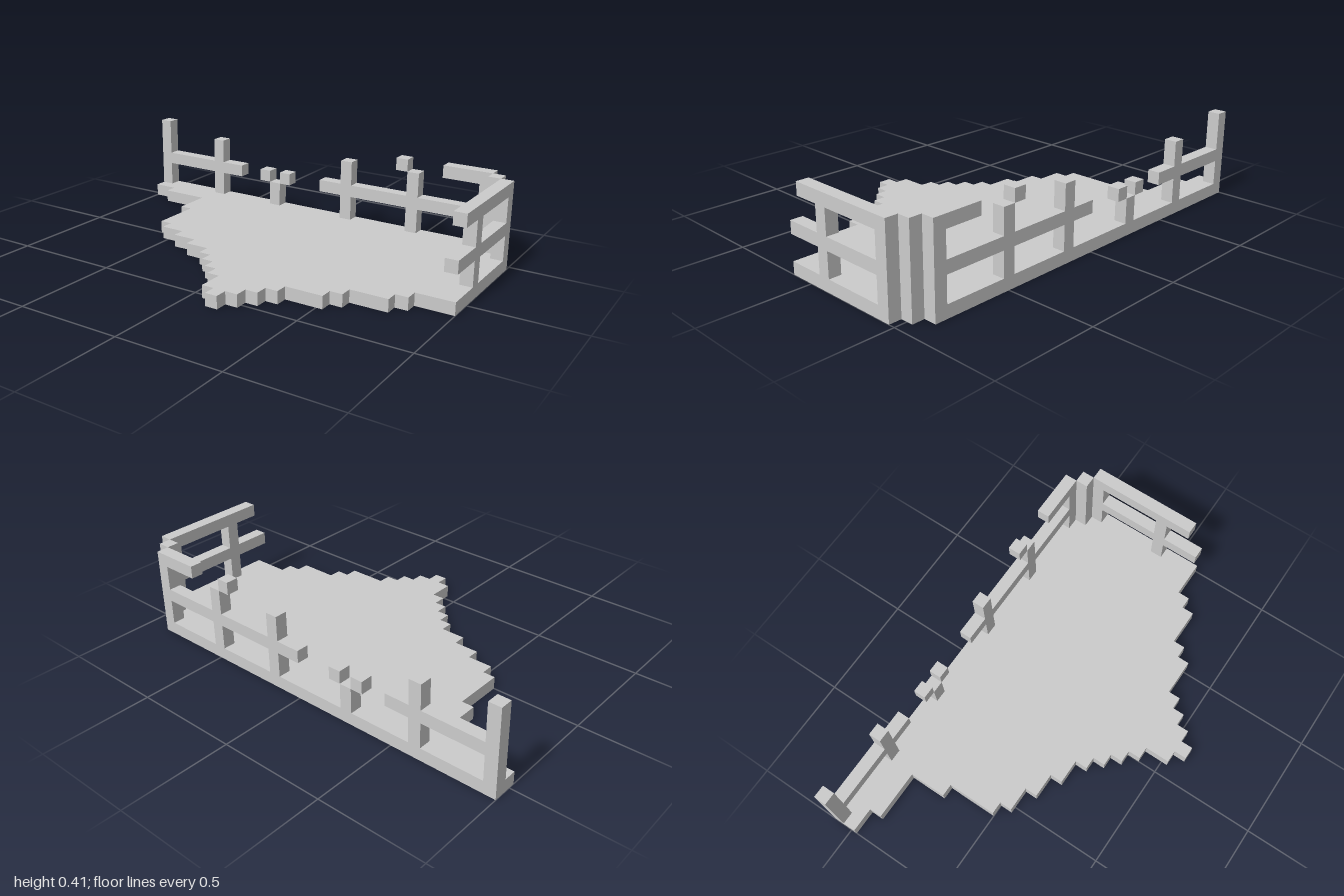
import * as THREE from 'three';

const U = 2 / 34; // one block
const X0 = -17, Z0 = -10; // block grid origin, in blocks

export function createModel() {
  const group = new THREE.Group();
  const mat = new THREE.MeshStandardMaterial({ color: 0xcccccc, flatShading: true });

  // box filling a block range: start column, level, row and size in blocks
  const block = (name, i, j, k, w, h, d) => {
    const mesh = new THREE.Mesh(new THREE.BoxGeometry(w * U, h * U, d * U), mat);
    mesh.position.set((X0 + i + w / 2) * U, (j + h / 2) * U, (Z0 + k + d / 2) * U);
    mesh.name = name;
    group.add(mesh);
  };

  // broken deck: [first column, end column, number of rows], back to front
  const runs = [
    [0, 32, 1], [0, 33, 1], [2, 34, 1], [6, 34, 3], [7, 34, 4], [8, 34, 1],
    [10, 34, 1], [12, 31, 1], [14, 30, 1], [15, 27, 1], [16, 26, 1],
    [17, 23, 1], [18, 22, 1], [18, 21, 1], [19, 20, 1],
  ];
  const left = [], right = [];
  let row = 0;
  for (const [a, b, n] of runs) {
    for (const r of [row, row + n]) {
      left.push(new THREE.Vector2((X0 + a) * U, (Z0 + r) * U));
      right.push(new THREE.Vector2((X0 + b) * U, (Z0 + r) * U));
    }
    row += n;
  }
  const outline = [...right, ...left.reverse()].filter((p, n, all) => n === 0 || !p.equals(all[n - 1]));
  const deckGeo = new THREE.ExtrudeGeometry(new THREE.Shape(outline), { depth: U, bevelEnabled: false });
  deckGeo.rotateX(Math.PI / 2).translate(0, U, 0);
  const deck = new THREE.Mesh(deckGeo, mat);
  deck.name = 'deck';
  group.add(deck);

  // back fence posts: [column, height]
  for (const [i, h] of [[0, 6], [6, 5], [12, 2], [19, 5], [25, 5]]) block('backPost', i, 1, 0, 1, h, 1);

  // back fence rails between the posts: [column, level, length]
  for (const [i, j, w] of [
    [1, 3, 5], [7, 3, 2], [11, 3, 1], [13, 3, 1], [17, 3, 2], [20, 3, 5], [26, 3, 5],
    [24, 6, 1], [28, 6, 3],
  ]) block('backRail', i, j, 0, w, 1, 1);

  // stepped corner posts
  for (let s = 0; s < 3; s++) block('cornerPost', 31 + s, 1, s, 1, 6, 1);

  // side fence
  block('sidePost', 33, 1, 8, 1, 2, 1);
  block('sidePost', 33, 4, 8, 1, 2, 1);
  block('sideLowerRail', 33, 3, 3, 1, 1, 9);
  block('sideUpperRail', 33, 6, 3, 1, 1, 8);

  return group;
}
